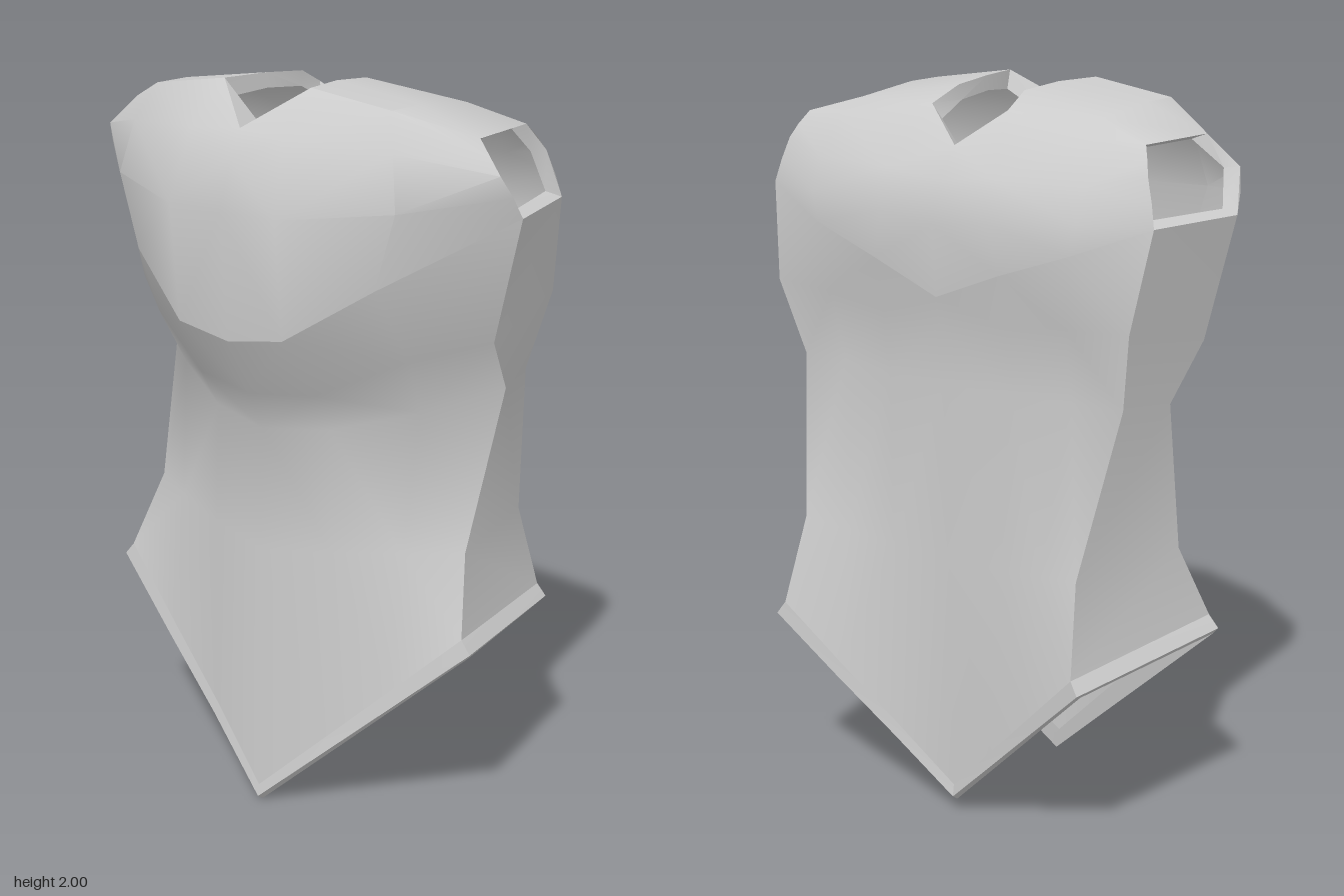
import * as THREE from 'three';
import { toCreasedNormals } from 'three/addons/utils/BufferGeometryUtils.js';

const material = new THREE.MeshStandardMaterial({ color: 0xcccccc, side: THREE.DoubleSide });

const distance = (p, q) => Math.hypot(p[0] - q[0], p[1] - q[1], p[2] - q[2]);

// Skin each grid of points (rows of columns) and its mirror image into one mesh
function mirroredSkin(name, grids, crease) {
  const pos = [];
  const tri = (a, b, c) => {
    pos.push(...a, ...b, ...c);
    for (const p of [a, c, b]) pos.push(-p[0], p[1], p[2]);
  };
  for (const rows of grids) {
    for (let i = 0; i < rows.length - 1; i++) {
      for (let j = 0; j < rows[i].length - 1; j++) {
        const a = rows[i][j], b = rows[i][j + 1], c = rows[i + 1][j + 1], d = rows[i + 1][j];
        // Split along the shorter diagonal
        if (distance(a, c) < distance(b, d)) {
          tri(a, b, c);
          tri(a, c, d);
        } else {
          tri(a, b, d);
          tri(b, c, d);
        }
      }
    }
  }
  const geometry = new THREE.BufferGeometry();
  geometry.setAttribute('position', new THREE.Float32BufferAttribute(pos, 3));
  const mesh = new THREE.Mesh(toCreasedNormals(geometry, crease), material);
  mesh.name = name;
  return mesh;
}

export function createModel() {
  const group = new THREE.Group();
  group.name = 'breastplate';

  // Armhole corners, from the lower front over the top to the lower back
  const armhole = [
    [0.67, 1.71, 0.05], [0.64, 1.82, 0.11], [0.56, 1.90, 0.08],
    [0.535, 1.90, -0.17], [0.57, 1.83, -0.215], [0.605, 1.71, -0.24],
  ];
  const [A, B, C, D, E, F] = armhole;

  // Hard crease lines under the chest and across the shoulder blades
  const chestCrease = [[0, 1.36, 0.38], [0.17, 1.385, 0.37], [0.39, 1.53, 0.28], A];
  const backCrease = [[0, 1.48, -0.315], [0.20, 1.56, -0.315], [0.40, 1.63, -0.305], F];

  // Front abdomen rows, hem to chest crease, ridge line to side edge
  const abdomen = [
    [[0, 0.05, 0.27], [0.19, 0.23, 0.22], [0.38, 0.41, 0.18], [0.575, 0.595, 0.135]],
    [[0, 0.75, 0.25], [0.20, 0.77, 0.20], [0.38, 0.79, 0.13], [0.525, 0.80, 0.05]],
    [[0, 1.09, 0.24], [0.19, 1.11, 0.195], [0.40, 1.17, 0.085], [0.56, 1.23, -0.07]],
    [[0, 1.20, 0.295], [0.19, 1.22, 0.265], [0.42, 1.33, 0.17], [0.59, 1.38, 0.04]],
    chestCrease,
  ];

  // Chest rows up to the neck
  const chest = [
    chestCrease,
    [[0, 1.70, 0.405], [0.17, 1.70, 0.40], [0.45, 1.73, 0.28], [0.66, 1.765, 0.08]],
    [[0, 1.83, 0.36], [0.15, 1.89, 0.335], [0.42, 1.87, 0.25], B],
    [[0, 1.90, 0.32], [0.14, 2.00, 0.21], [0.38, 1.965, 0.20], [0.60, 1.86, 0.095]],
  ];

  // Upper back rows, neck to shoulder-blade crease
  const upperBack = [
    [[0, 1.86, -0.23], [0.12, 1.95, -0.165], [0.41, 1.905, -0.185], [0.555, 1.865, -0.195]],
    [[0, 1.78, -0.295], [0.17, 1.80, -0.30], [0.42, 1.80, -0.265], E],
    [[0, 1.67, -0.33], [0.17, 1.69, -0.33], [0.42, 1.71, -0.30], [0.59, 1.77, -0.228]],
    backCrease,
  ];

  // Lower back rows, crease to hem
  const lowerBack = [
    backCrease,
    [[0, 1.40, -0.30], [0.20, 1.42, -0.285], [0.38, 1.44, -0.28], [0.565, 1.45, -0.28]],
    [[0, 1.24, -0.285], [0.20, 1.24, -0.26], [0.37, 1.24, -0.24], [0.52, 1.24, -0.23]],
    [[0, 0.75, -0.275], [0.18, 0.76, -0.28], [0.32, 0.78, -0.305], [0.45, 0.80, -0.33]],
    [[0, 0.08, -0.255], [0.16, 0.24, -0.30], [0.32, 0.40, -0.35], [0.48, 0.56, -0.395]],
  ];

  // Shoulder strap rows bridge front and back beside the neck
  const shoulder = [
    chest[3].slice(1),
    [[0.115, 2.00, 0.07], [0.38, 1.965, 0.08], C],
    [[0.105, 1.99, -0.07], [0.38, 1.945, -0.13], D],
    upperBack[0].slice(1),
  ];
  group.add(mirroredSkin('chestAndShoulders', [chest, shoulder, upperBack], 0.62));
  group.add(mirroredSkin('abdomen', [abdomen], 1.0));
  group.add(mirroredSkin('lowerBack', [lowerBack], 0.8));

  // Side panels between the front and back edges
  const side = abdomen.map((row, i) => [row[3], lowerBack[4 - i][3]]);
  group.add(mirroredSkin('sidePanels', [side], 0.6));

  // Flared hem that rolls under the lower edge
  const hemLine = [...abdomen[0], ...[...lowerBack[4]].reverse()];
  const hemRow = (sx, dy, sz) => hemLine.map(([x, y, z]) => [x * sx, y + dy, z * sz]);
  const hem = [hemRow(0.95, 0, 0.91), hemRow(1.03, -0.05, 0.94), hemRow(1.05, -0.035, 1.02), hemLine];
  group.add(mirroredSkin('hem', [hem], 0.4));

  // Inset rims around the armholes
  const loop = [...armhole, A];
  const inner = loop.map(([x, y, z]) => [x - 0.035, 1.805 + (y - 1.805) * 0.85, -0.055 + (z + 0.055) * 0.87]);
  group.add(mirroredSkin('armholeRims', [[inner, loop]], 0.4));

  // Neck rim, front notch to back notch
  const neckOuter = [chest[3][0], ...shoulder.map((row) => row[0]), upperBack[0][0]];
  const neckInner = [
    [0, 1.87, 0.21], [0.135, 1.95, 0.19], [0.112, 1.96, 0.07],
    [0.102, 1.95, -0.06], [0.10, 1.91, -0.15], [0, 1.83, -0.19],
  ];
  group.add(mirroredSkin('neckRim', [[neckOuter, neckInner]], 0.4));

  return group;
}
